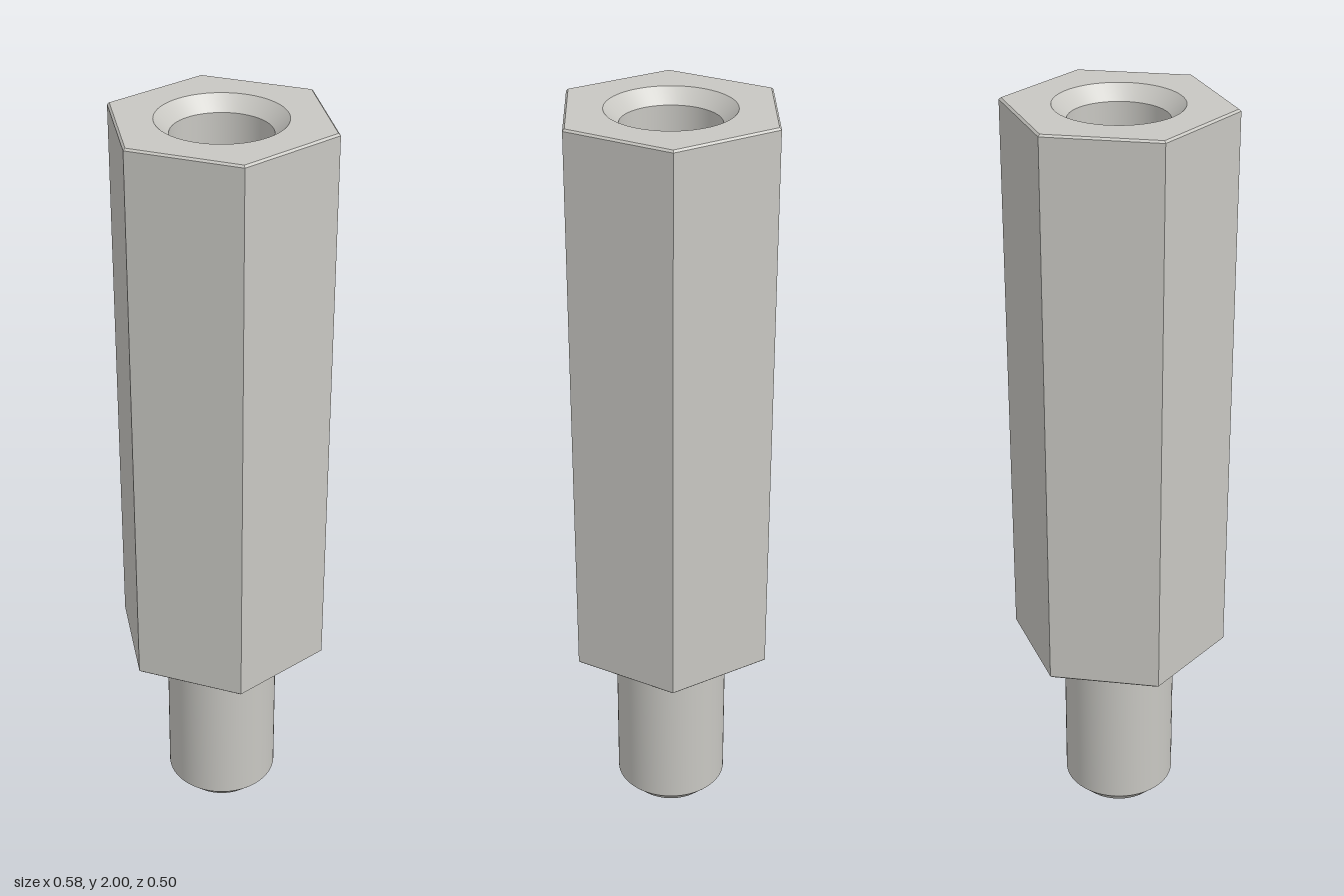
import * as THREE from 'three';
import { toCreasedNormals } from 'three/addons/utils/BufferGeometryUtils.js';

const HEX_R = 0.2887;     // corner radius, 0.25 across to each flat
const EDGE = 0.005;       // small edge break on the hexagon
const BASE = 0.505, TOP = 2;
const STUD_R = 0.15, SINK_R = 0.16, BORE_R = 0.124;
const BORE_FLOOR = 1.2;

// Revolve a profile of [radius, y] pairs, keeping real edges sharp
function revolve(profile, sides, phiStart = 0) {
  const points = profile.map(([r, y]) => new THREE.Vector2(r, y));
  return toCreasedNormals(new THREE.LatheGeometry(points, sides, phiStart), 0.5);
}

// Flat hexagon with a round hole, facing up or down
function hexRing(holeRadius, y, up) {
  const corners = [];
  for (let i = 0; i < 6; i++) {
    const a = i * Math.PI / 3, r = HEX_R - EDGE * 1.155;
    corners.push(new THREE.Vector2(r * Math.cos(a), r * Math.sin(a)));
  }
  const shape = new THREE.Shape(corners);
  shape.holes.push(new THREE.Path().absarc(0, 0, holeRadius, 0, Math.PI * 2, true));
  const geometry = new THREE.ShapeGeometry(shape, 32);
  geometry.rotateX(up ? -Math.PI / 2 : Math.PI / 2);
  return geometry.translate(0, y, 0);
}

export function createModel() {
  const metal = new THREE.MeshStandardMaterial({ color: 0xc8c7c2 });
  metal.name = 'satin metal';
  const group = new THREE.Group();
  group.name = 'hexStandoff';
  const add = (name, geometry) => {
    const mesh = new THREE.Mesh(geometry, metal);
    mesh.name = name;
    group.add(mesh);
  };

  // Hexagonal body with chamfered rims, corners on the x axis
  const rim = HEX_R - EDGE * 1.155;
  add('hexBody', revolve([
    [rim, BASE], [HEX_R, BASE + EDGE], [HEX_R, TOP - EDGE], [rim, TOP],
  ], 6, Math.PI / 2));
  add('topFace', hexRing(SINK_R, TOP, true));
  add('shoulder', hexRing(STUD_R, BASE, false));

  // Countersunk blind bore, profile runs downward so it faces inward
  add('bore', revolve([
    [SINK_R, TOP], [BORE_R, TOP - 0.036], [BORE_R, BORE_FLOOR], [0, BORE_FLOOR],
  ], 64));

  // Round stud with a chamfered tip
  add('stud', revolve([
    [0, 0], [0.11, 0], [STUD_R, 0.042], [STUD_R, BASE],
  ], 64));

  return group;
}
